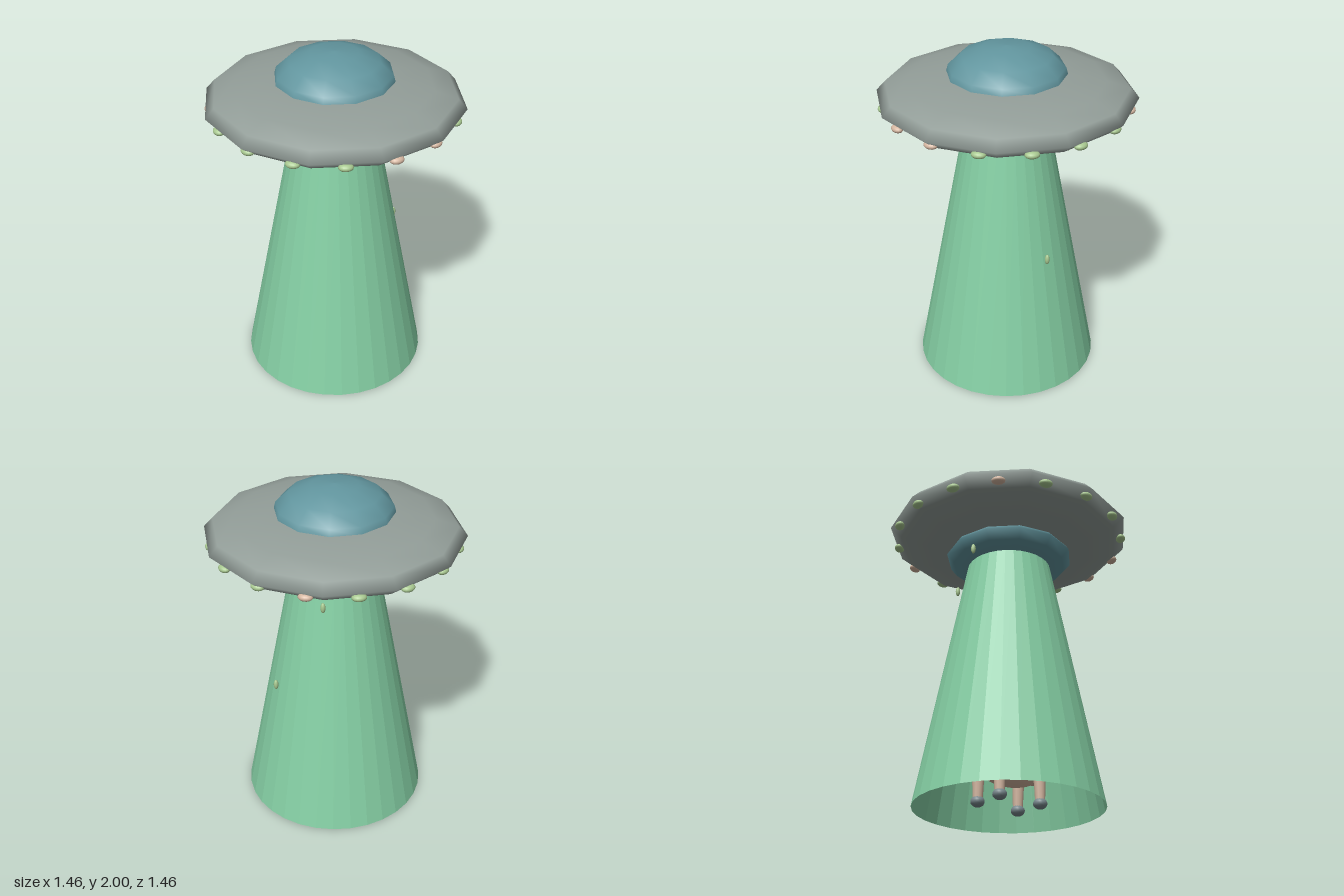
import * as THREE from 'three';

const mat = (name, color, extra = {}) => {
  const m = new THREE.MeshStandardMaterial({ color, ...extra });
  m.name = name;
  return m;
};

export function createModel() {
  const hullGrey = mat('hull grey', 0x939e99);
  const teal = mat('teal', 0x62969f);
  const beamGreen = mat('beam green', 0x85cfa4, { side: THREE.DoubleSide, flatShading: true });
  const lightGreen = mat('light green', 0xa8c890);
  const peach = mat('peach', 0xd4b6a0);
  const hoofGrey = mat('hoof grey', 0x76858a);

  const model = new THREE.Group();
  model.name = 'saucerWithBeam';

  const add = (parent, name, geometry, material) => {
    const mesh = new THREE.Mesh(geometry, material);
    mesh.name = name;
    parent.add(mesh);
    return mesh;
  };
  // Twelve-sided turned part, profile listed from bottom to top
  const turned = (name, profile, material) =>
    add(model, name, new THREE.LatheGeometry(profile.map(([r, y]) => new THREE.Vector2(r, y)), 12), material);
  // Ellipsoid at a position with three radii
  const blob = (parent, name, pos, radii, material, w = 16, h = 12) => {
    const mesh = add(parent, name, new THREE.SphereGeometry(1, w, h), material);
    mesh.position.set(...pos);
    mesh.scale.set(...radii);
    return mesh;
  };
  // Tapered rod between two points
  const rod = (parent, name, from, to, r0, r1, material) => {
    const a = new THREE.Vector3(...from), b = new THREE.Vector3(...to);
    const dir = b.clone().sub(a);
    const mesh = add(parent, name, new THREE.CylinderGeometry(r1, r0, dir.length(), 12), material);
    mesh.position.copy(a).addScaledVector(dir, 0.5);
    mesh.quaternion.setFromUnitVectors(new THREE.Vector3(0, 1, 0), dir.normalize());
    return mesh;
  };

  // Saucer
  turned('hull', [[0, 1.585], [0.36, 1.59], [0.55, 1.625], [0.665, 1.66], [0.73, 1.715],
    [0.68, 1.77], [0.55, 1.81], [0.33, 1.845], [0, 1.85]], hullGrey);
  turned('dome', [[0.337, 1.835], [0.325, 1.88], [0.255, 1.945], [0.135, 1.99], [0, 2]], teal);
  turned('lowerRing', [[0, 1.49], [0.23, 1.49], [0.34, 1.515], [0.382, 1.567], [0.36, 1.6]], teal);

  // Rim lights, counted from the front towards +x
  const peachLights = [3, 4, 9, 14];
  for (let i = 0; i < 16; i++) {
    const a = (i / 16) * Math.PI * 2;
    const light = blob(model, 'rimLight', [0.685 * Math.sin(a), 1.682, 0.685 * Math.cos(a)],
      [0.04, 0.021, 0.03], peachLights.includes(i) ? peach : lightGreen);
    light.rotation.y = a;
  }

  // Open beam
  const beam = add(model, 'beam', new THREE.CylinderGeometry(0.25, 0.537, 1.49, 32, 1, true), beamGreen);
  beam.position.y = 0.745;

  // Floating drops around and inside the beam
  for (const p of [[-0.37, 1.45, 0.12], [-0.145, 1.425, -0.32], [0.15, 0.84, -0.38], [0.262, 1.49, -0.075],
    [-0.16, 0.24, -0.24], [0.2, 0.7, 0.15], [-0.18, 1.0, 0.1]]) {
    blob(model, 'drop', p, [0.014, 0.031, 0.014], lightGreen, 10, 8);
  }

  // Cow lifted inside the beam, head towards +x
  const cow = new THREE.Group();
  cow.name = 'cow';
  model.add(cow);
  blob(cow, 'body', [0, 0.27, 0], [0.25, 0.14, 0.15], peach, 24, 16);
  blob(cow, 'rump', [-0.22, 0.23, 0], [0.11, 0.11, 0.11], peach);
  blob(cow, 'chest', [0.18, 0.29, 0], [0.11, 0.12, 0.12], peach);
  rod(cow, 'neck', [0.2, 0.32, 0], [0.3, 0.39, 0], 0.08, 0.065, peach);
  blob(cow, 'head', [0.31, 0.4, 0], [0.085, 0.08, 0.075], peach);
  blob(cow, 'muzzle', [0.375, 0.375, 0], [0.05, 0.045, 0.055], peach);
  for (const s of [-1, 1]) {
    blob(cow, 'ear', [0.28, 0.44, 0.095 * s], [0.02, 0.025, 0.045], hoofGrey);
    blob(cow, 'eye', [0.365, 0.43, 0.05 * s], [0.014, 0.016, 0.014], hoofGrey, 10, 8);
    rod(cow, 'horn', [0.29, 0.46, 0.04 * s], [0.29, 0.52, 0.06 * s], 0.014, 0.004, hoofGrey);
    blob(cow, 'sidePatch', [0.02, 0.22, 0.13 * s], [0.045, 0.05, 0.02], hoofGrey);
    blob(cow, 'rearPatch', [-0.11, 0.27, 0.127 * s], [0.05, 0.06, 0.02], hoofGrey);
    for (const x of [-0.145, 0.145]) {
      rod(cow, 'leg', [x, 0.04, 0.095 * s], [x, 0.24, 0.09 * s], 0.028, 0.037, peach);
      blob(cow, 'hoof', [x, 0.035, 0.095 * s], [0.04, 0.032, 0.04], hoofGrey);
    }
  }
  rod(cow, 'tail', [-0.31, 0.27, 0], [-0.36, 0.18, 0], 0.012, 0.008, peach);

  return model;
}
